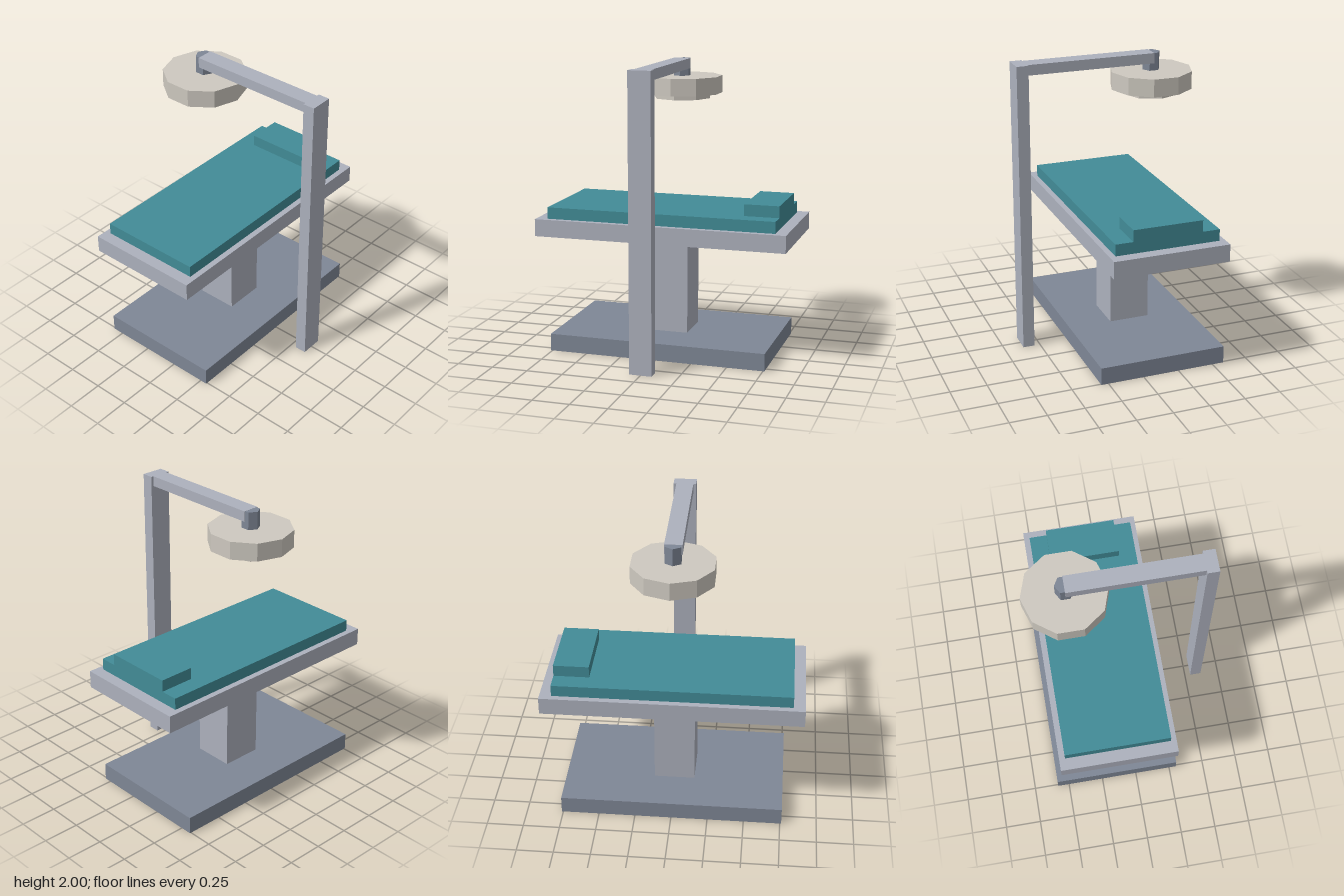
import * as THREE from 'three';

const mat = (name, color) => {
  const m = new THREE.MeshStandardMaterial({ color });
  m.name = name;
  return m;
};

export function createModel() {
  const group = new THREE.Group();
  const metal = mat('light grey metal', 0xadb1bd);
  const darkMetal = mat('dark grey metal', 0x7f8796);
  const teal = mat('teal padding', 0x428c97);
  const cream = mat('warm white lamp', 0xcec9c0);
  // prisms keep their facets
  for (const m of [darkMetal, cream]) m.flatShading = true;

  const add = (name, geometry, material) => {
    const mesh = new THREE.Mesh(geometry, material);
    mesh.name = name;
    group.add(mesh);
    return mesh;
  };
  // box from its lower and upper corners
  const box = (name, material, [x0, y0, z0], [x1, y1, z1]) =>
    add(name, new THREE.BoxGeometry(x1 - x0, y1 - y0, z1 - z0), material)
      .position.set((x0 + x1) / 2, (y0 + y1) / 2, (z0 + z1) / 2);
  // upright prism on the lamp axis, one corner pointing along x
  const prism = (name, material, radius, y0, y1, sides) => {
    const geometry = new THREE.CylinderGeometry(radius, radius, y1 - y0, sides);
    geometry.rotateY(Math.PI / 2);
    add(name, geometry, material).position.set(-0.34, (y0 + y1) / 2, 0);
  };

  // table
  box('base', darkMetal, [-0.58, 0, -0.76], [0.3, 0.12, 0.76]);
  box('column', metal, [-0.28, 0.12, -0.14], [0, 0.8, 0.14]);
  box('tableTop', metal, [-0.54, 0.8, -0.88], [0.26, 0.92, 0.88]);
  box('mattress', teal, [-0.5, 0.92, -0.8], [0.22, 1, 0.8]);
  box('pillow', teal, [-0.38, 1, -0.8], [0.1, 1.08, -0.56]);

  // lamp stand
  box('post', metal, [0.54, 0, -0.077], [0.62, 2, 0.077]);
  box('arm', metal, [-0.34, 1.93, -0.058], [0.54, 2, 0.058]);

  // lamp
  prism('lampMount', darkMetal, 0.06, 1.88, 1.999, 6);
  prism('lampHead', cream, 0.28, 1.76, 1.88, 10);
  prism('lampLens', cream, 0.2, 1.725, 1.76, 8);

  return group;
}
